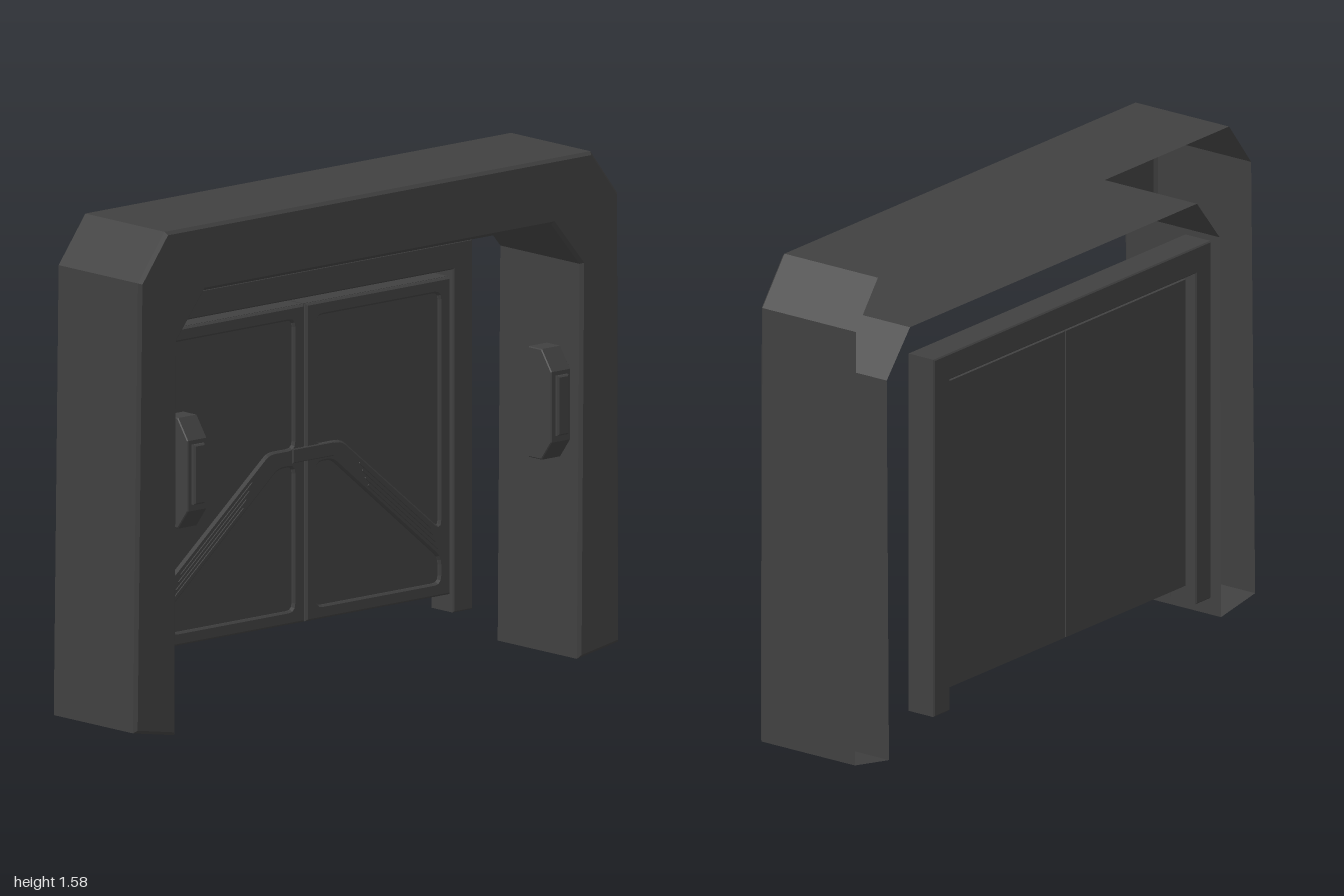
import * as THREE from 'three';

const material = new THREE.MeshStandardMaterial({ color: 0x404040, flatShading: true });
const shellMaterial = new THREE.MeshStandardMaterial({ color: 0x404040, flatShading: true, side: THREE.DoubleSide });
const CENTRE = 0.01; // seam between the door leaves

const vectors = (pts) => pts.map(([x, y]) => new THREE.Vector2(x, y));

function addMesh(parent, name, geometry, mat = material) {
  const mesh = new THREE.Mesh(geometry, mat);
  mesh.name = name;
  parent.add(mesh);
  return mesh;
}

// Outline extruded from z0 to z1, with small chamfers kept inside the outline
function slab(shape, z0, z1, bevel) {
  const geometry = new THREE.ExtrudeGeometry(shape, {
    depth: z1 - z0 - 2 * bevel, bevelEnabled: bevel > 0, bevelThickness: bevel,
    bevelSize: bevel, bevelOffset: -bevel, bevelSegments: 1, curveSegments: 3,
  });
  return geometry.translate(0, 0, z0 + bevel);
}

const rect = (x0, x1, y0, y1) => new THREE.Shape(vectors([[x0, y0], [x1, y0], [x1, y1], [x0, y1]]));

// Closed path with softened corners
function softened(points, r) {
  const path = new THREE.Path();
  const p = vectors(points), n = p.length;
  p.forEach((c, i) => {
    const a = p[(i + n - 1) % n].clone().sub(c).setLength(r).add(c);
    const b = p[(i + 1) % n].clone().sub(c).setLength(r).add(c);
    if (i === 0) path.moveTo(a.x, a.y); else path.lineTo(a.x, a.y);
    path.quadraticCurveTo(c.x, c.y, b.x, b.y);
  });
  path.closePath();
  return path;
}

// Moves every edge of a counter-clockwise outline inwards by d
function inset(p, d) {
  const n = p.length;
  return p.map((c, i) => {
    const e = c.clone().sub(p[(i + n - 1) % n]).normalize();
    const f = p[(i + 1) % n].clone().sub(c).normalize();
    const m = new THREE.Vector2(-e.y - f.y, e.x + f.x);
    return m.multiplyScalar(d / (1 + e.dot(f))).add(c);
  });
}

// Hollow outer arch: walls, chamfer and front face, open at the back
function archGeometry() {
  const outer = vectors([
    [-0.83, 0], [-0.823, 1.23], [-0.71, 1.37], [0.72, 1.37], [0.836, 1.23], [0.825, 0],
    [0.995, 0.03], [0.99, 1.43], [0.88, 1.575], [-0.87, 1.575], [-0.98, 1.43], [-1, 0.03],
  ]);
  if (THREE.ShapeUtils.isClockWise(outer)) outer.reverse();
  const front = inset(outer, 0.01);
  const rings = [[outer, -0.15], [outer, 0.21], [front, 0.22]];
  const n = outer.length, position = [], index = [];
  for (const [ring, z] of rings) for (const v of ring) position.push(v.x, v.y, z);
  for (let r = 0; r < 2; r++) {
    for (let i = 0; i < n; i++) {
      const a = r * n + i, b = r * n + (i + 1) % n;
      index.push(a, b, b + n, a, b + n, a + n);
    }
  }
  for (const f of THREE.ShapeUtils.triangulateShape(front, [])) index.push(...f.map((i) => i + 2 * n));
  const geometry = new THREE.BufferGeometry();
  geometry.setAttribute('position', new THREE.Float32BufferAttribute(position, 3));
  geometry.setIndex(index);
  const flat = geometry.toNonIndexed();
  flat.computeVertexNormals();
  return flat;
}

// One door leaf; s is +1 for the left leaf and -1 for the right one
function doorLeaf(s) {
  const leaf = new THREE.Group();
  leaf.name = s > 0 ? 'leftDoorLeaf' : 'rightDoorLeaf';
  const at = (pts) => pts.map(([d, y]) => [CENTRE + s * d, y]);
  const edge = at([[0.003, 0.18], [0.597, 0.18], [0.597, 1.17], [0.003, 1.17]]);
  addMesh(leaf, 'leafCore', slab(new THREE.Shape(vectors(edge)), -0.2, -0.136, 0));

  // Front plate with two recessed panels
  const plate = new THREE.Shape(vectors(edge));
  plate.holes.push(
    softened(at([[0.048, 1.127], [0.552, 1.127], [0.552, 0.395], [0.15, 0.727], [0.048, 0.727]]), 0.022),
    softened(at([[0.048, 0.67], [0.11, 0.67], [0.552, 0.3], [0.552, 0.222], [0.048, 0.222]]), 0.022),
  );
  addMesh(leaf, 'leafPlate', slab(plate, -0.139, -0.122, 0.006));

  // Thin ribs along the diagonal band
  const slope = 0.831;
  for (let k = 0; k < 4; k++) {
    const d0 = 0.22 + k * 0.012, d1 = 0.515 + k * 0.009, mid = (d0 + d1) / 2;
    const rib = addMesh(leaf, 'rib', new THREE.BoxGeometry((d1 - d0) * Math.hypot(1, slope), 0.005, 0.006));
    rib.position.set(CENTRE + s * mid, 0.645 - 0.015 * k - slope * (mid - 0.22), -0.121);
    rib.rotation.z = -s * Math.atan(slope);
  }
  return leaf;
}

// Wall lamp: body with sloped top and bottom, and a raised front panel
function sideLamp(x, name) {
  const lamp = new THREE.Group();
  lamp.name = name;
  const profile = new THREE.Shape(vectors([
    [-0.11, 0.63], [-0.17, 0.63], [-0.215, 0.69], [-0.215, 0.91], [-0.17, 0.975], [-0.11, 0.975],
  ]));
  const body = slab(profile, -0.04, 0.04, 0.003).rotateY(Math.PI / 2);
  addMesh(lamp, 'lampBody', body);
  addMesh(lamp, 'lampPanel', slab(rect(-0.023, 0.023, 0.71, 0.897), 0.205, 0.228, 0.005));
  lamp.position.x = x;
  return lamp;
}

export function createModel() {
  const model = new THREE.Group();
  model.name = 'gateway';

  addMesh(model, 'outerArch', archGeometry(), shellMaterial);

  // Door frame, open at the bottom
  const frame = new THREE.Shape(vectors([
    [-0.68, 0.12], [-0.605, 0.12], [-0.605, 1.19], [0.62, 1.19],
    [0.62, 0.12], [0.7, 0.12], [0.7, 1.275], [-0.68, 1.275],
  ]));
  addMesh(model, 'doorFrame', slab(frame, -0.228, -0.125, 0.004));

  // Door leaves and the latch across the seam
  model.add(doorLeaf(1), doorLeaf(-1));
  addMesh(model, 'latch', slab(rect(-0.045, 0.125, 0.682, 0.727), -0.13, -0.117, 0.003));

  model.add(sideLamp(-0.74, 'rightLamp'), sideLamp(0.755, 'leftLamp'));
  return model;
}
